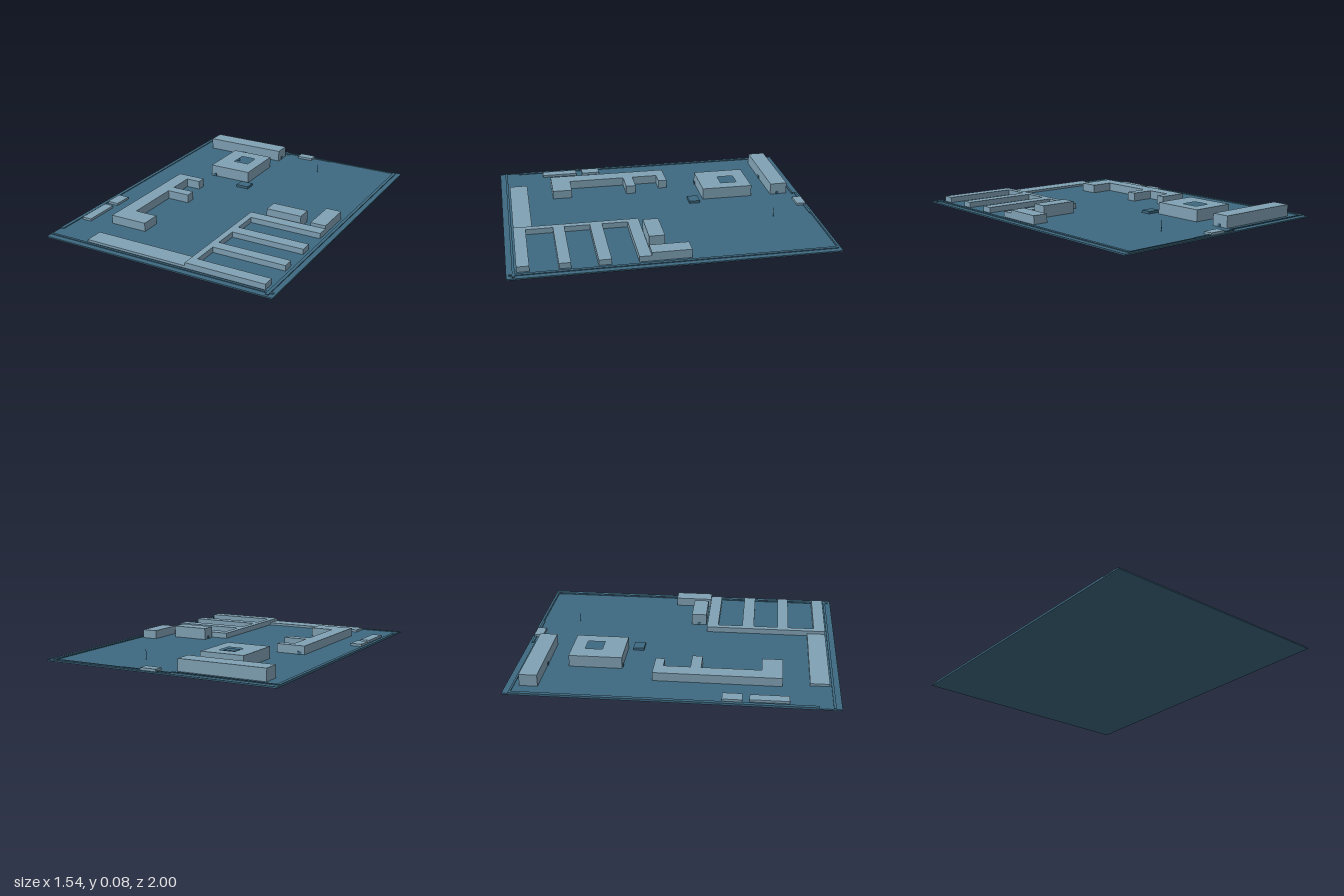
import * as THREE from 'three';

const GROUND_TOP = 0.009;

export function createModel() {
  const model = new THREE.Group();
  const groundMat = new THREE.MeshStandardMaterial({ color: 0x3d6880 });
  groundMat.name = 'deep blue ground';
  const buildingMat = new THREE.MeshStandardMaterial({ color: 0x80a1b4 });
  buildingMat.name = 'pale blue building';

  // Box given by its plan limits and vertical limits
  const block = (name, mat, x0, x1, z0, z1, top, base = GROUND_TOP) => {
    const mesh = new THREE.Mesh(new THREE.BoxGeometry(x1 - x0, top - base, z1 - z0), mat);
    mesh.position.set((x0 + x1) / 2, (top + base) / 2, (z0 + z1) / 2);
    mesh.name = name;
    model.add(mesh);
  };

  // Building extruded upward from a plan outline of [x, z] points
  const building = (name, outline, top, courtyard) => {
    const toPlan = (list) => list.map(([x, z]) => new THREE.Vector2(x, -z));
    const shape = new THREE.Shape(toPlan(outline));
    if (courtyard) shape.holes.push(new THREE.Path(toPlan(courtyard)));
    const geo = new THREE.ExtrudeGeometry(shape, { depth: top - GROUND_TOP, bevelEnabled: false });
    geo.rotateX(-Math.PI / 2);
    geo.translate(0, GROUND_TOP, 0);
    const mesh = new THREE.Mesh(geo, buildingMat);
    mesh.name = name;
    model.add(mesh);
  };
  const rect = (x0, x1, z0, z1) => [[x0, z0], [x1, z0], [x1, z1], [x0, z1]];

  // Outline of a comb: a spine on the -x side with arms [z0, z1, tipX] toward +x
  const comb = (x0, x1, arms) => {
    const points = [[x0, arms[0][0]]];
    arms.forEach(([z0, z1, tip], i) => {
      if (i > 0) points.push([x1, z0]);
      points.push([tip, z0], [tip, z1]);
      if (i < arms.length - 1) points.push([x1, z1]);
    });
    points.push([x0, arms[arms.length - 1][1]]);
    return points;
  };

  // Ground slab
  block('ground', groundMat, -0.768, 0.768, -1, 1, GROUND_TOP, 0);

  // Perimeter walls
  const walls = [
    [-0.768, -0.745, -0.955, 0.87],
    [0.715, 0.735, -0.985, 0.985],
    [-0.768, 0.755, 0.95, 0.965],
    [-0.768, -0.09, -0.962, -0.95],
    [-0.095, 0.23, -0.985, -0.97],
    [0.23, 0.715, -0.985, -0.977],
  ];
  walls.forEach((w) => block('perimeterWall', groundMat, ...w, 0.014));

  // Main buildings
  building('courtyardBuilding', rect(-0.395, -0.105, -0.67, -0.335), 0.084,
    rect(-0.29, -0.185, -0.585, -0.475));
  building('threeArmBuilding', comb(-0.53, -0.435,
    [[-0.13, -0.072, -0.34], [0.095, 0.16, -0.285], [0.53, 0.657, -0.285]]), 0.064);
  building('combBuilding', comb(0.182, 0.222,
    [[0.152, 0.226, 0.695], [0.388, 0.465, 0.695], [0.625, 0.696, 0.695], [0.865, 0.94, 0.695]]), 0.044);

  // Plain blocks
  block('rearHall', buildingMat, -0.667, -0.105, -0.917, -0.805, 0.084);
  block('centreHall', buildingMat, 0.287, 0.523, 0.042, 0.14, 0.084);
  block('sideWing', buildingMat, 0.595, 0.695, -0.09, 0.152, 0.064);
  block('frontShed', buildingMat, -0.503, 0.182, 0.822, 0.94, 0.024);
  block('sideHut', buildingMat, -0.737, -0.662, 0.303, 0.423, 0.024);
  block('sideHut', buildingMat, -0.73, -0.667, 0.465, 0.7, 0.024);
  block('gatehouse', buildingMat, -0.005, 0.103, -0.988, -0.928, 0.024);
  block('plinth', groundMat, -0.138, -0.053, -0.302, -0.232, 0.025);

  // Doors, thin plates on the walls
  const doors = [
    [-0.405, -0.38, -0.806, -0.802],
    [-0.106, -0.102, -0.865, -0.845],
    [-0.38, -0.355, -0.674, -0.669],
    [-0.38, -0.355, -0.336, -0.331],
    [-0.51, -0.485, -0.134, -0.129],
    [0.283, 0.288, 0.08, 0.1],
  ];
  doors.forEach((d) => block('door', groundMat, ...d, 0.028));

  // Flagpole
  const pole = new THREE.Mesh(new THREE.CylinderGeometry(0.0015, 0.0015, 0.066, 8), groundMat);
  pole.position.set(0.242, GROUND_TOP + 0.033, -0.722);
  pole.name = 'flagpole';
  model.add(pole);

  return model;
}
